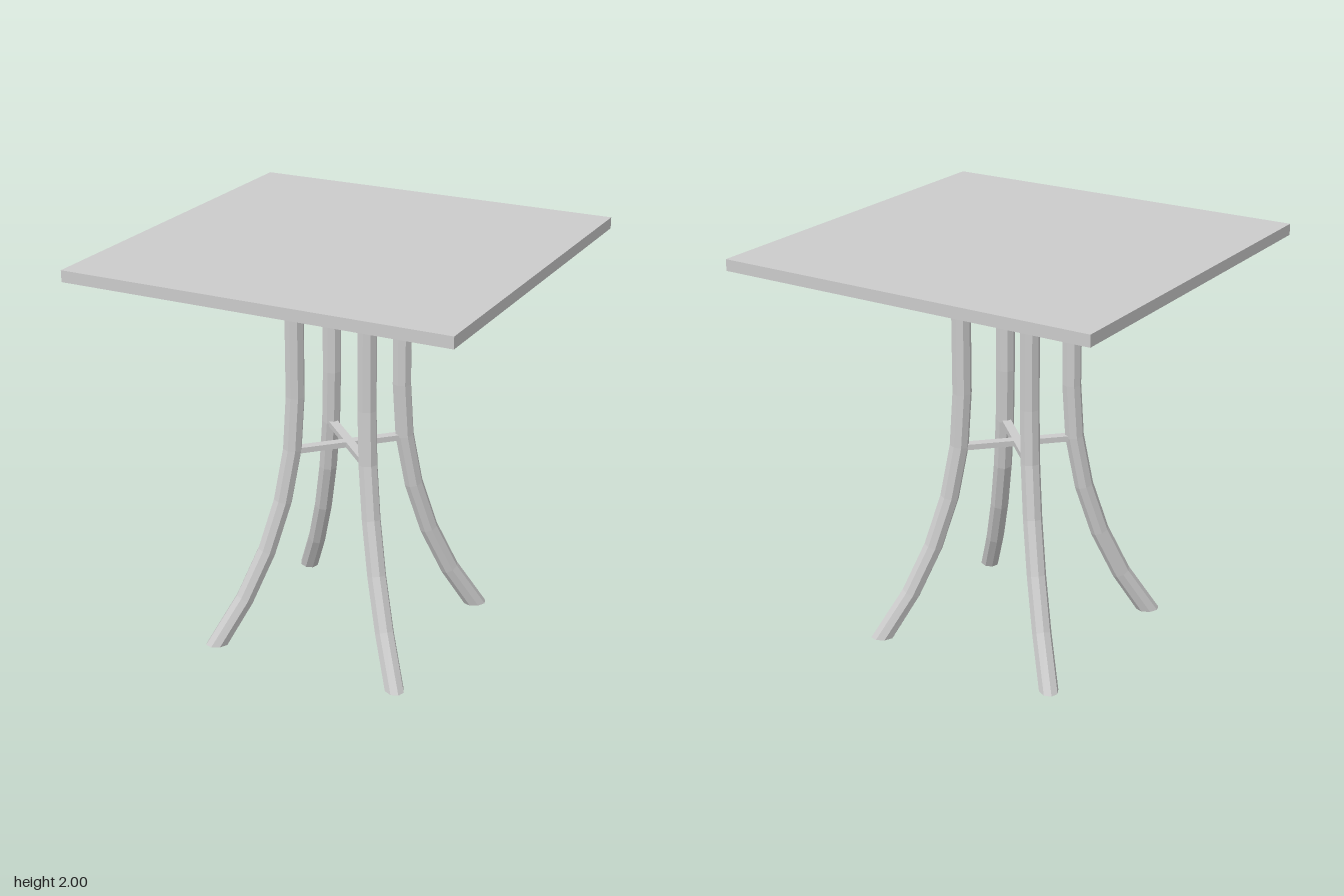
import * as THREE from 'three';

const TOP_Y = 1.945;     // lower rim of the table top
const BEND_Y = 1.27;     // the legs start to flare below this height
const ARC_R = 2.14;      // radius of the flare
const LEG_OFFSET = 0.269; // straight part of the leg, distance from the centre
const LEG_R = 0.047;
const ARC_STEPS = 5;

// Hollow square top: a sheet with four skirts, open below
function topGeometry() {
  const geo = new THREE.BoxGeometry(1.89, 2 - TOP_Y, 1.89);
  const index = Array.from(geo.index.array);
  index.splice(18, 6); // take away the bottom face
  geo.setIndex(index);
  geo.clearGroups();
  return geo;
}

// Octagonal leg: a straight upper part, then an arc outwards, cut level at the floor
function legGeometry() {
  const rows = ARC_STEPS + 1;
  const geo = new THREE.CylinderGeometry(LEG_R, LEG_R, 1, 8, rows, true);
  const pos = geo.attributes.position;
  const fullAngle = Math.asin(BEND_Y / ARC_R);
  for (let i = 0; i < pos.count; i++) {
    const row = Math.round((pos.getY(i) + 0.5) * rows);
    const a = row === rows ? 0 : fullAngle * (1 - row / ARC_STEPS);
    const cx = LEG_OFFSET + ARC_R * (1 - Math.cos(a));
    const cy = row === rows ? TOP_Y : BEND_Y - ARC_R * Math.sin(a);
    const d = pos.getX(i);
    if (row === 0) pos.setXY(i, cx + d / Math.cos(a), 0);
    else pos.setXY(i, cx + d * Math.cos(a), cy + d * Math.sin(a));
  }
  geo.computeVertexNormals();
  return geo;
}

export function createModel() {
  const group = new THREE.Group();
  const material = new THREE.MeshStandardMaterial({
    color: 0xcccccc, flatShading: true, side: THREE.DoubleSide,
  });

  const add = (name, geometry) => {
    const mesh = new THREE.Mesh(geometry, material);
    mesh.name = name;
    group.add(mesh);
    return mesh;
  };

  add('tableTop', topGeometry()).position.y = (2 + TOP_Y) / 2;

  // Four legs on the diagonals
  const leg = legGeometry();
  ['backLeftLeg', 'backRightLeg', 'frontRightLeg', 'frontLeftLeg'].forEach((name, k) => {
    add(name, leg).rotation.y = Math.PI / 4 + k * Math.PI / 2;
  });

  // Crossed braces between opposite legs
  const brace = new THREE.BoxGeometry(0.56, 0.028, 0.045);
  [1, -1].forEach((side) => {
    const bar = add(side > 0 ? 'braceA' : 'braceB', brace);
    bar.position.y = 0.992;
    bar.rotation.y = side * Math.PI / 4;
  });

  return group;
}
